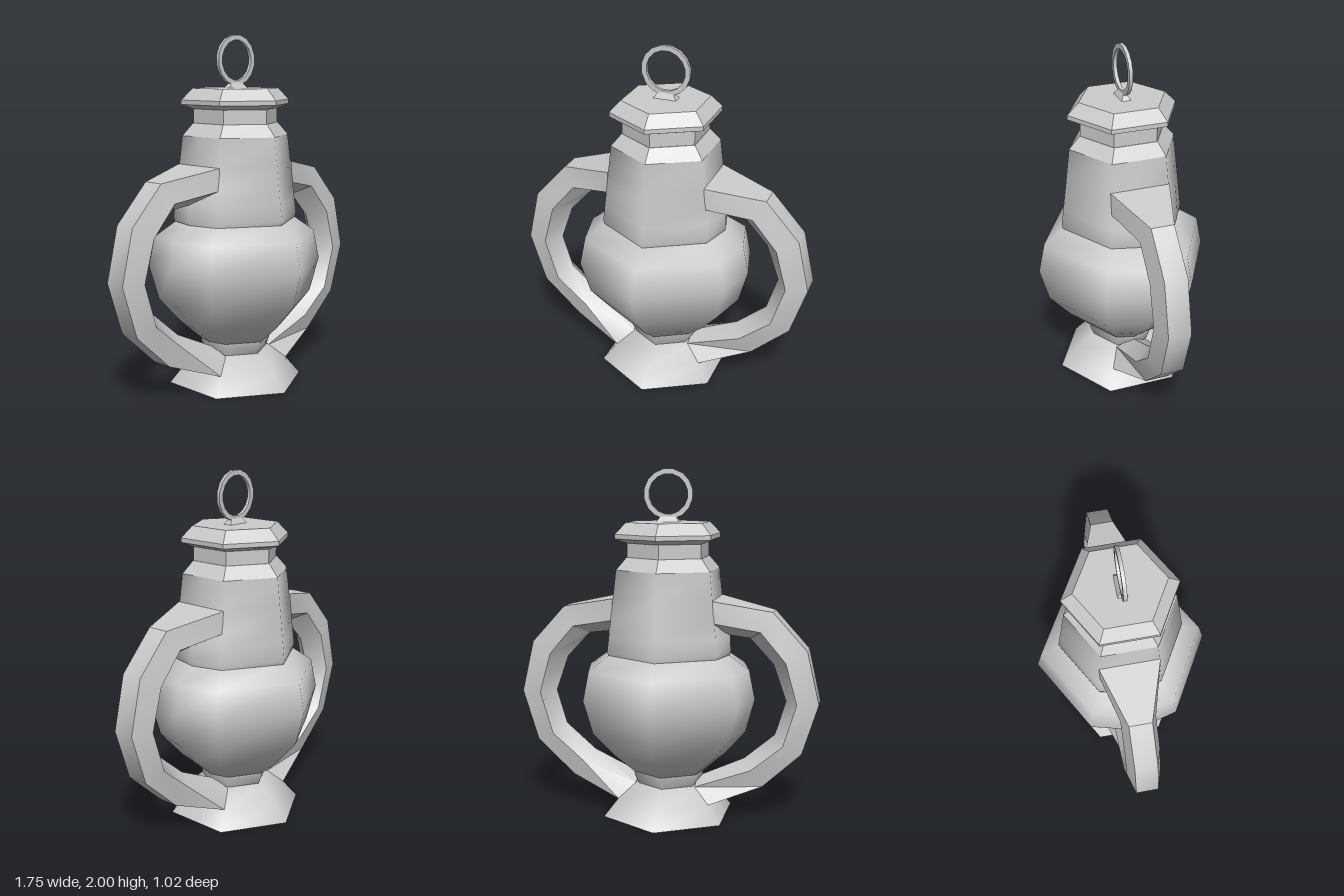
import * as THREE from 'three';
import { toCreasedNormals } from 'three/addons/utils/BufferGeometryUtils.js';

const grey = new THREE.MeshStandardMaterial({ color: 0xcccccc });

function mesh(name, geometry) {
  const m = new THREE.Mesh(geometry, grey);
  m.name = name;
  return m;
}

// Skin over a list of equal-length rings of [x, y, z], with flat end caps
function loft(rings, crease) {
  const n = rings[0].length;
  const index = [];
  for (let i = 0; i < rings.length - 1; i++) {
    for (let j = 0; j < n; j++) {
      const a = i * n + j, b = i * n + (j + 1) % n;
      index.push(a, b, b + n, a, b + n, a + n);
    }
  }
  const last = (rings.length - 1) * n;
  for (let j = 1; j < n - 1; j++) {
    index.push(0, j + 1, j, last, last + j, last + j + 1);
  }
  const g = new THREE.BufferGeometry();
  g.setAttribute('position', new THREE.Float32BufferAttribute(rings.flat(2), 3));
  g.setIndex(index);
  return toCreasedNormals(g, crease);
}

// Hexagon with corners on z, plus a point on each side that can bulge to x = side
function hexRing([y, r, side = r * Math.cos(Math.PI / 6)]) {
  return [0, 60, 90, 120, 180, 240, 270, 300].map((deg) => {
    const a = THREE.MathUtils.degToRad(deg);
    const k = deg % 180 === 90 ? side : r;
    return [k * Math.sin(a), y, k * Math.cos(a)];
  });
}

const SMOOTH = 1.15, CRISP = 0.6;
const turned = (name, profile, crease) => mesh(name, loft(profile.map(hexRing), crease));

export function createModel() {
  const model = new THREE.Group();
  model.name = 'handledUrn';

  // Body, from the foot up: [height, corner radius, optional side point]
  model.add(
    turned('foot', [[0, 0.395], [0.1, 0.31], [0.185, 0.205]], SMOOTH),
    turned('stem', [[0.18, 0.18, 0.18], [0.235, 0.205, 0.205], [0.265, 0.21, 0.21]], SMOOTH),
    turned('bulb', [
      [0.26, 0.21, 0.21], [0.365, 0.33, 0.33], [0.505, 0.455, 0.455],
      [0.7, 0.51, 0.507], [0.87, 0.475, 0.472], [0.96, 0.345, 0.345],
    ], SMOOTH),
    turned('upperJar', [
      [0.955, 0.36, 0.36], [0.98, 0.365, 0.365], [1.07, 0.354, 0.36],
      [1.155, 0.344, 0.3], [1.28, 0.329], [1.44, 0.31],
    ], SMOOTH),
    turned('shoulder', [[1.44, 0.31], [1.51, 0.248]], CRISP),
    turned('neck', [[1.5, 0.245], [1.6, 0.245]], CRISP),
    turned('lid', [[1.59, 0.25], [1.615, 0.315], [1.64, 0.315], [1.705, 0.25]], CRISP),
  );

  // Handle sections: outer edge, widest edge and inner ridge as [x, y], then two half widths
  const sections = [
    [[0.285, 1.28], [0.295, 1.155], [0.345, 1.07], 0.17, 0.17],
    [[0.61, 1.215], [0.545, 1.105], [0.475, 1.055], 0.065, 0.1],
    [[0.805, 1.0], [0.69, 0.935], [0.61, 0.91], 0.065, 0.1],
    [[0.875, 0.7], [0.755, 0.7], [0.685, 0.7], 0.065, 0.1],
    [[0.785, 0.41], [0.68, 0.455], [0.625, 0.5], 0.065, 0.1],
    [[0.565, 0.205], [0.5, 0.305], [0.45, 0.35], 0.065, 0.1],
    [[0.265, 0.1], [0.175, 0.185], [0.18, 0.225], 0.155, 0.1],
  ];
  const handleGeometry = loft(sections.map(([o, m, i, w, v]) => [
    [...o, -w], [...o, w], [...m, v], [...i, 0], [...m, -v],
  ]), CRISP);
  const leftHandle = mesh('leftHandle', handleGeometry);
  const rightHandle = mesh('rightHandle', handleGeometry);
  rightHandle.rotation.y = Math.PI;
  model.add(leftHandle, rightHandle);

  // Thin upright ring on a small tapered mount
  const circle = (radius, sides) => Array.from({ length: sides }, (_, i) => {
    const a = ((i + 0.5) / sides) * Math.PI * 2;
    return new THREE.Vector2(radius * Math.cos(a), radius * Math.sin(a));
  });
  const ringShape = new THREE.Shape(circle(0.142, 16));
  ringShape.holes.push(new THREE.Path(circle(0.113, 16)));
  const ring = mesh('liftingRing', toCreasedNormals(
    new THREE.ExtrudeGeometry(ringShape, { depth: 0.02, bevelEnabled: false }), CRISP));
  ring.position.set(0, 1.861, -0.01);

  const box = (x, y, z) => [[-x, y, z], [x, y, z], [x, y, -z], [-x, y, -z]];
  const mount = mesh('ringMount', loft([box(0.07, 1.7, 0.03), box(0.045, 1.735, 0.01)], CRISP));
  model.add(ring, mount);

  return model;
}
